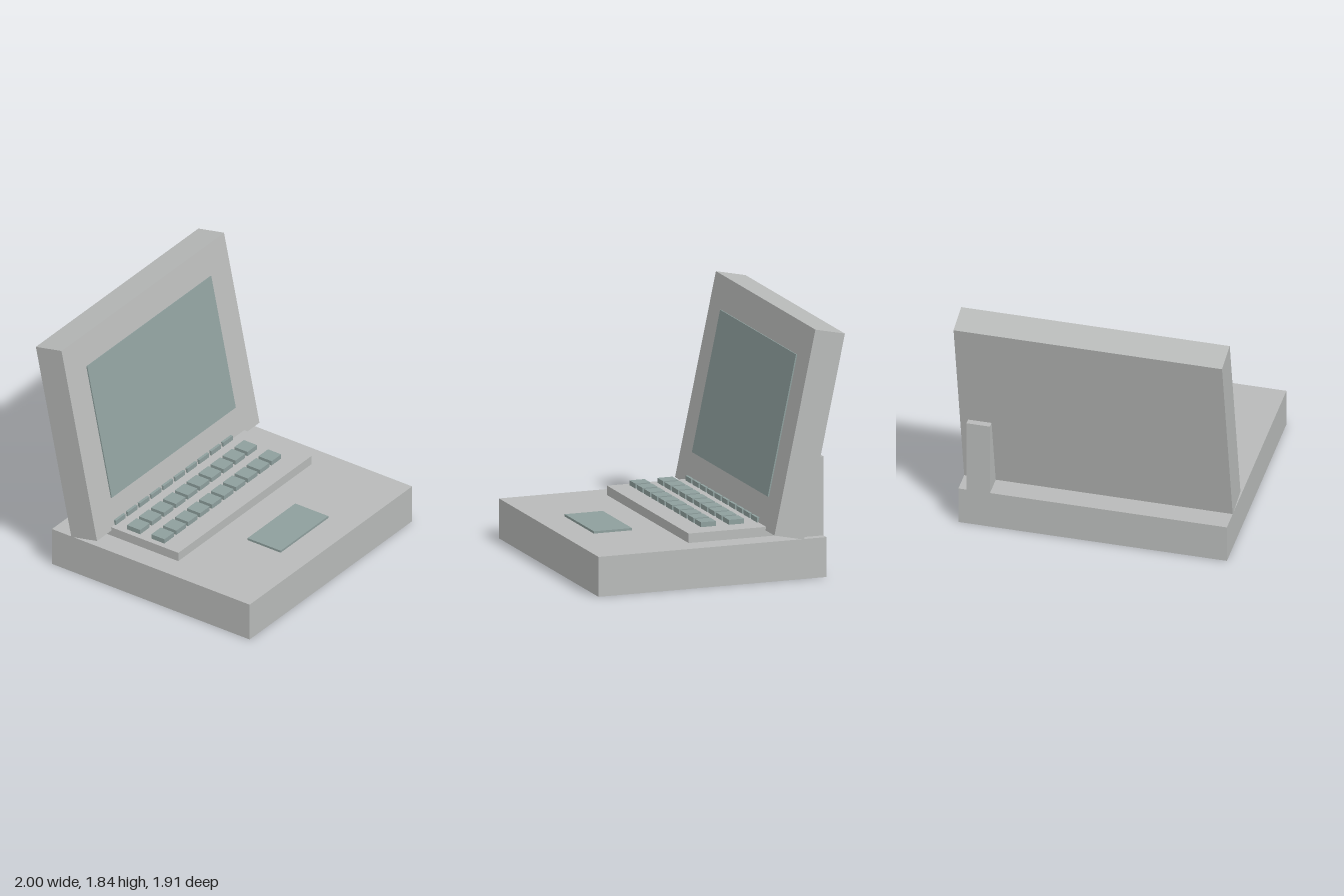
import * as THREE from 'three';

export function createModel() {
  const model = new THREE.Group();
  model.name = 'laptop';

  const casing = new THREE.MeshStandardMaterial({ color: 0xb8bab9 });
  casing.name = 'light grey casing';
  const glass = new THREE.MeshStandardMaterial({ color: 0x8e9f9d });
  glass.name = 'grey green';

  // Box given by its extents on each axis
  function block(name, material, [x0, x1], [y0, y1], [z0, z1], parent = model) {
    const mesh = new THREE.Mesh(new THREE.BoxGeometry(x1 - x0, y1 - y0, z1 - z0), material);
    mesh.position.set((x0 + x1) / 2, (y0 + y1) / 2, (z0 + z1) / 2);
    mesh.name = name;
    parent.add(mesh);
    return mesh;
  }

  // Base, keyboard deck and trackpad
  const baseTop = 0.296, deckTop = 0.366;
  block('base', casing, [-1, 1], [0, baseTop], [-0.81, 0.954]);
  block('keyboardDeck', casing, [-0.82, 0.82], [baseTop, deckTop], [-0.575, 0.187]);
  block('trackpad', glass, [-0.293, 0.293], [baseTop, 0.313], [0.423, 0.718]);

  // Three rows of ten keys; the back row runs under the lid
  const keys = new THREE.Group();
  keys.name = 'keys';
  model.add(keys);
  const half = 0.0585;
  for (let row = 0; row < 3; row++) {
    for (let col = 0; col < 10; col++) {
      const x = -0.717 + col * 0.1467;
      const z = -0.028 - row * 0.216;
      block('key', glass, [x - half, x + half], [deckTop, 0.402], [z - half, z + half], keys);
    }
  }

  // Lid leaning back, with the display on its front face
  const lid = new THREE.Group();
  lid.name = 'lid';
  lid.position.set(0, 1.067, -0.681);
  lid.rotation.x = -0.208;
  model.add(lid);
  block('lidPanel', casing, [-1, 1], [-0.767, 0.767], [-0.117, 0.117], lid);
  block('display', glass, [-0.763, 0.763], [-0.53, 0.53], [0.117, 0.127], lid);

  // Single support post behind the lid, on the model's left
  block('supportPost', casing, [0.765, 0.94], [baseTop, 0.883], [-0.81, -0.636]);

  return model;
}
